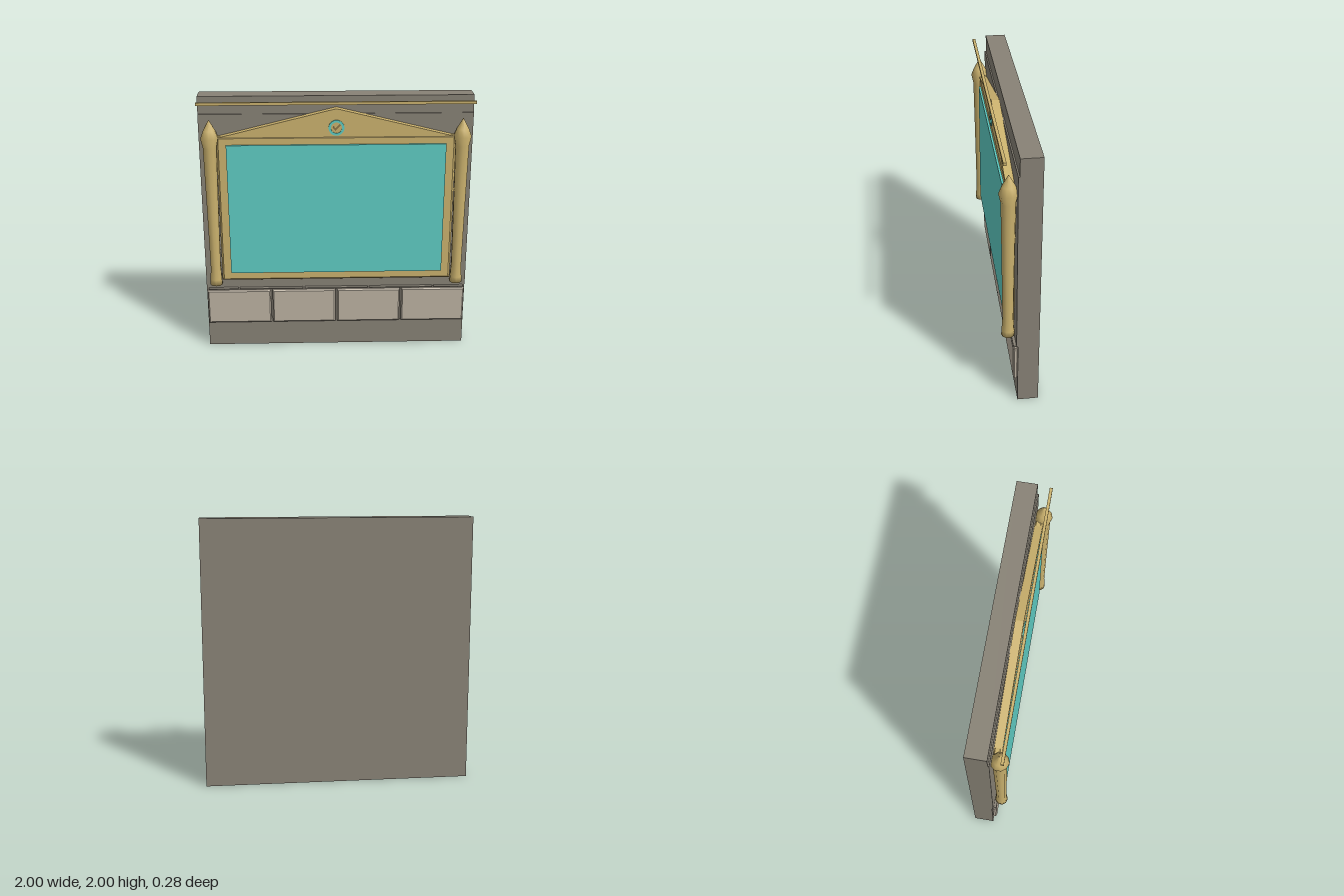
import * as THREE from 'three';

const mat = (name, color) => {
  const m = new THREE.MeshStandardMaterial({ color });
  m.name = name;
  return m;
};

export function createModel() {
  const group = new THREE.Group();
  const stone = mat('grey stone', 0x888276);
  const brickStone = mat('pale brick', 0xbcb2a2);
  const gold = mat('gold', 0xcbb26e);
  const teal = mat('teal', 0x5fcdc4);
  const bronze = mat('bronze', 0x8a7444);

  const add = (name, geometry, material, x = 0, y = 0, z = 0) => {
    const mesh = new THREE.Mesh(geometry, material);
    mesh.name = name;
    mesh.position.set(x, y, z);
    group.add(mesh);
    return mesh;
  };

  // Box given by its extents
  const block = (name, material, x0, x1, y0, y1, z0, z1) =>
    add(name, new THREE.BoxGeometry(x1 - x0, y1 - y0, z1 - z0), material,
      (x0 + x1) / 2, (y0 + y1) / 2, (z0 + z1) / 2);

  // Flat outline pushed forward in z
  const plate = (points, depth) => new THREE.ExtrudeGeometry(
    new THREE.Shape(points.map(([x, y]) => new THREE.Vector2(x, y))),
    { depth, bevelEnabled: false });

  // Slab whose front edges are chamfered
  const chamferedSlab = (w, h, depth, b) => {
    const g = new THREE.ExtrudeGeometry(
      new THREE.Shape([[-1, -1], [1, -1], [1, 1], [-1, 1]].map(
        ([sx, sy]) => new THREE.Vector2(sx * (w / 2 - b), sy * (h / 2 - b)))),
      { depth: depth - 2 * b, bevelEnabled: true, bevelThickness: b, bevelSize: b, bevelSegments: 1 });
    return g.translate(0, 0, b);
  };

  // Wall, with a thin facing panel behind the frame
  block('wall', stone, -1, 1, 0, 2, -0.14, 0.01);
  block('facingPanel', stone, -1, 1, 0.5, 1.87, 0.01, 0.02);

  // Brick course and the half-offset slivers above it
  for (let i = 0; i < 4; i++) {
    add('brick', chamferedSlab(0.488, 0.275, 0.035, 0.01), brickStone, -0.75 + i * 0.5, 0.342, 0.007);
  }
  const seams = [-0.99, -0.75, -0.25, 0.25, 0.75, 0.99];
  for (let i = 0; i < 5; i++) {
    block('brickSliver', stone, seams[i] + 0.006, seams[i + 1] - 0.006, 0.488, 0.496, 0.008, 0.04);
  }

  // Screen frame, screen and pediment
  add('frame', chamferedSlab(1.74, 1.135, 0.06, 0.014), gold, 0, 1.15, 0.015);
  block('screen', teal, -0.8, 0.8, 0.65, 1.655, 0.07, 0.09);
  add('pediment', plate([[-0.86, 1.71], [0.86, 1.71], [0, 1.92]], 0.06), gold, 0, 0, 0.018);

  // Round badge with a tick
  const ring = new THREE.Shape().absarc(0, 0, 0.057, 0, Math.PI * 2);
  ring.holes.push(new THREE.Path().absarc(0, 0, 0.04, 0, Math.PI * 2, true));
  add('badgeRing', new THREE.ExtrudeGeometry(ring, { depth: 0.008, bevelEnabled: false, curveSegments: 16 }),
    teal, 0, 1.78, 0.077);
  add('badgeTick', plate([[-0.028, 0.002], [-0.008, -0.022], [0.032, 0.02], [0.024, 0.029],
    [-0.007, -0.003], [-0.018, 0.01]], 0.007), bronze, 0, 1.78, 0.077);

  // Columns with flared foot and pointed finial
  const profile = [[0, 0.555], [0.048, 0.555], [0.045, 0.6], [0.039, 0.7], [0.041, 0.9], [0.046, 1.3],
    [0.051, 1.64], [0.066, 1.71], [0.045, 1.765], [0, 1.845]].map(([r, y]) => new THREE.Vector2(r, y));
  for (const side of [-1, 1]) {
    add(side > 0 ? 'leftColumn' : 'rightColumn', new THREE.LatheGeometry(profile, 10), gold, side * 0.917, 0, 0.071);
  }

  // Rail floating in front of the wall top
  block('rail', gold, -1, 1, 1.957, 1.977, 0.094, 0.115);

  return group;
}
